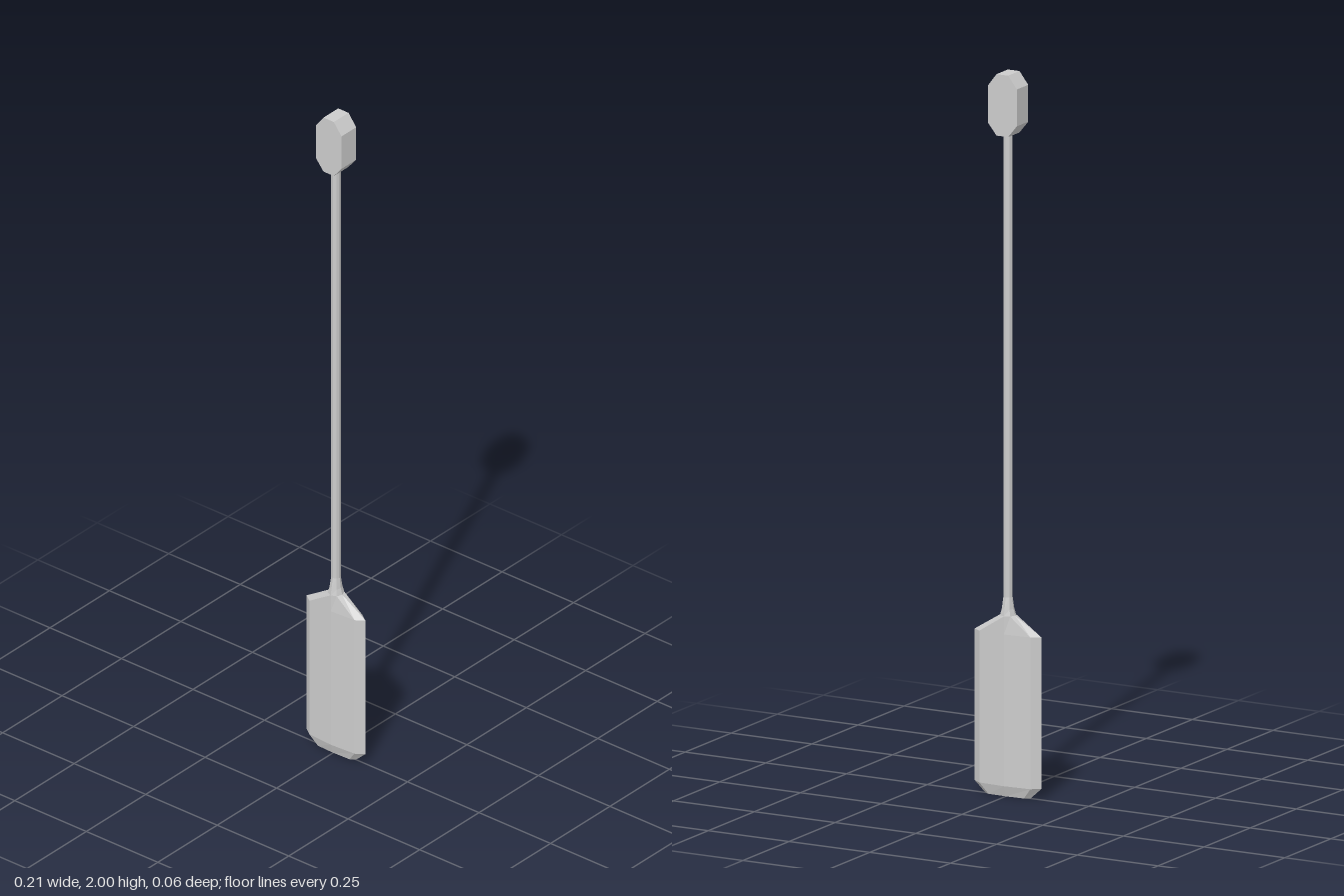
import * as THREE from 'three';

const material = new THREE.MeshStandardMaterial({ color: 0xcccccc, flatShading: true });

// Eight-sided section: pointed side edges, shoulder points and a centre ridge.
function section([y, width, inner, thick, ridge]) {
  return [
    [width, 0], [inner, thick], [0, ridge], [-inner, thick],
    [-width, 0], [-inner, -thick], [0, -ridge], [inner, -thick],
  ].map(([x, z]) => new THREE.Vector3(x, y, z));
}

// Skins sections listed from bottom to top and closes both ends.
function loft(rows) {
  const rings = rows.map(section);
  const points = [];
  const n = 8;
  for (let r = 0; r < rings.length - 1; r++) {
    for (let j = 0; j < n; j++) {
      const k = (j + 1) % n;
      const a = rings[r][j], b = rings[r][k], c = rings[r + 1][j], d = rings[r + 1][k];
      points.push(a, c, b, b, c, d);
    }
  }
  const bottom = rings[0], top = rings[rings.length - 1];
  for (let j = 1; j < n - 1; j++) {
    points.push(bottom[0], bottom[j], bottom[j + 1], top[0], top[j + 1], top[j]);
  }
  const geometry = new THREE.BufferGeometry().setFromPoints(points);
  geometry.computeVertexNormals();
  return geometry;
}

export function createModel() {
  const group = new THREE.Group();
  const add = (name, geometry) => {
    const mesh = new THREE.Mesh(geometry, material);
    mesh.name = name;
    group.add(mesh);
    return mesh;
  };

  // Blade: y, half width, shoulder x, shoulder z, ridge z
  add('blade', loft([
    [0, 0.07, 0.055, 0.010, 0.012],
    [0.03, 0.103, 0.079, 0.017, 0.022],
    [0.45, 0.103, 0.079, 0.017, 0.022],
    [0.50, 0.022, 0.016, 0.016, 0.022],
  ]));

  // Neck blends the blade into the shaft
  add('neck', loft([
    [0.50, 0.022, 0.016, 0.016, 0.022],
    [0.518, 0.017, 0.012, 0.013, 0.019],
    [0.55, 0.013, 0.0092, 0.0092, 0.013],
  ]));

  // Shaft
  const shaft = add('shaft', new THREE.CylinderGeometry(0.013, 0.013, 1.29, 8, 1, true, Math.PI / 2));
  shaft.position.y = 1.195;

  // Grip: chamfered block across the top of the shaft
  const outline = new THREE.Shape([
    [-0.018, 1.83], [0.018, 1.83], [0.045, 1.863], [0.045, 1.965],
    [0.018, 2], [-0.018, 2], [-0.045, 1.965], [-0.045, 1.863],
  ].map(([x, y]) => new THREE.Vector2(x, y)));
  const grip = add('grip', new THREE.ExtrudeGeometry(outline, { depth: 0.062, bevelEnabled: false }));
  grip.position.z = -0.031;

  return group;
}
